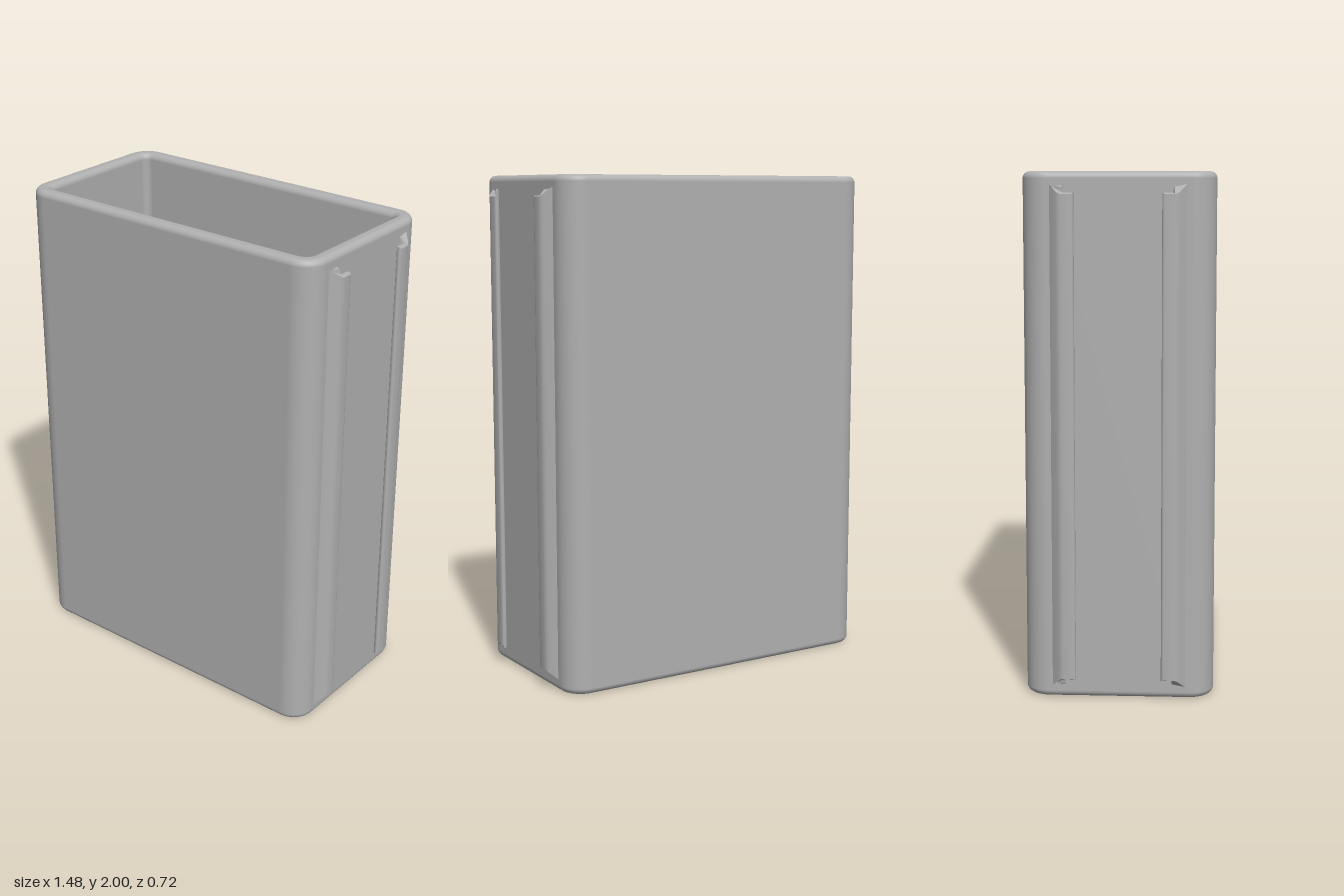
import * as THREE from 'three';
import { toCreasedNormals } from 'three/addons/utils/BufferGeometryUtils.js';

const HX = 0.702, HZ = 0.362, HEIGHT = 2; // outer half width, half depth, height
const CORNER = 0.095, WALL = 0.065, RIM = 0.025;

// Closed wall section: inward offset d, height y, and the normal (outward, up)
function wallSection() {
  const section = [];
  const steps = 6;
  const centres = [[RIM, RIM, 180], [WALL - RIM, RIM, 270],
    [WALL - RIM, HEIGHT - RIM, 0], [RIM, HEIGHT - RIM, 90]];
  for (const [cd, cy, start] of centres) {
    for (let i = 0; i <= steps; i++) {
      const a = THREE.MathUtils.degToRad(start + 90 * i / steps);
      section.push({ d: cd + RIM * Math.cos(a), y: cy + RIM * Math.sin(a),
        out: -Math.cos(a), up: Math.sin(a) });
    }
  }
  return section;
}

// Sweep the wall section around a rounded rectangle, open at both ends
function sleeveGeometry() {
  const section = wallSection(), rays = [];
  const arc = 10;
  [[1, 1], [-1, 1], [-1, -1], [1, -1]].forEach(([sx, sz], q) => {
    for (let i = 0; i <= arc; i++) {
      const a = (q + i / arc) * Math.PI / 2;
      rays.push({ cx: sx * (HX - CORNER), cz: sz * (HZ - CORNER), nx: Math.cos(a), nz: Math.sin(a) });
    }
  });
  const position = [], normal = [], index = [];
  const n = section.length, m = rays.length;
  rays.forEach((r, j) => section.forEach((s, i) => {
    const radius = CORNER - s.d;
    position.push(r.cx + r.nx * radius, s.y, r.cz + r.nz * radius);
    normal.push(r.nx * s.out, s.up, r.nz * s.out);
    const a = j * n + i, b = j * n + (i + 1) % n;
    const c = ((j + 1) % m) * n + i, e = ((j + 1) % m) * n + (i + 1) % n;
    index.push(a, c, b, b, c, e);
  }));
  const g = new THREE.BufferGeometry();
  g.setAttribute('position', new THREE.Float32BufferAttribute(position, 3));
  g.setAttribute('normal', new THREE.Float32BufferAttribute(normal, 3));
  g.setIndex(index);
  return g;
}

// Hooked rail: ramp, softened outer face, round lip and slot, with ends cut at a slant
function railGeometry(sx, sz) {
  const outer = 0.738, inner = 0.717, tip = 0.162;
  const points = [[0.69, 0.265], [0.702, 0.254], [0.727, 0.23], [0.735, 0.22], [outer, 0.209]];
  const r = (outer - inner) / 2;
  for (let i = 0; i <= 6; i++) {
    const a = Math.PI * i / 6;
    points.push([inner + r + r * Math.cos(a), tip + r - r * Math.sin(a)]);
  }
  points.push([inner, 0.2], [0.713, 0.205], [0.69, 0.205]);
  const shape = new THREE.Shape(points.map(([x, z]) => new THREE.Vector2(sx * x, -sz * z)));
  const g = new THREE.ExtrudeGeometry(shape, { depth: HEIGHT, bevelEnabled: false });
  g.rotateX(-Math.PI / 2);
  const p = g.attributes.position;
  for (let i = 0; i < p.count; i++) {
    let inset = 0.047 + Math.max(0, Math.abs(p.getX(i)) - HX);
    if (Math.abs(p.getZ(i)) < 0.202) inset = Math.max(inset, 0.078);
    p.setY(i, p.getY(i) > 1 ? HEIGHT - inset : inset);
  }
  return toCreasedNormals(g, 0.6);
}

export function createModel() {
  const model = new THREE.Group();
  model.name = 'sleeve with rails';
  const grey = new THREE.MeshStandardMaterial({ color: 0xb0b0b0 });
  grey.name = 'light grey';

  const add = (name, geometry) => {
    const mesh = new THREE.Mesh(geometry, grey);
    mesh.name = name;
    model.add(mesh);
  };

  add('sleeve', sleeveGeometry());
  for (const sx of [1, -1]) {
    for (const sz of [1, -1]) {
      add(`${sx > 0 ? 'left' : 'right'}${sz > 0 ? 'Front' : 'Back'}Rail`, railGeometry(sx, sz));
    }
  }
  return model;
}
